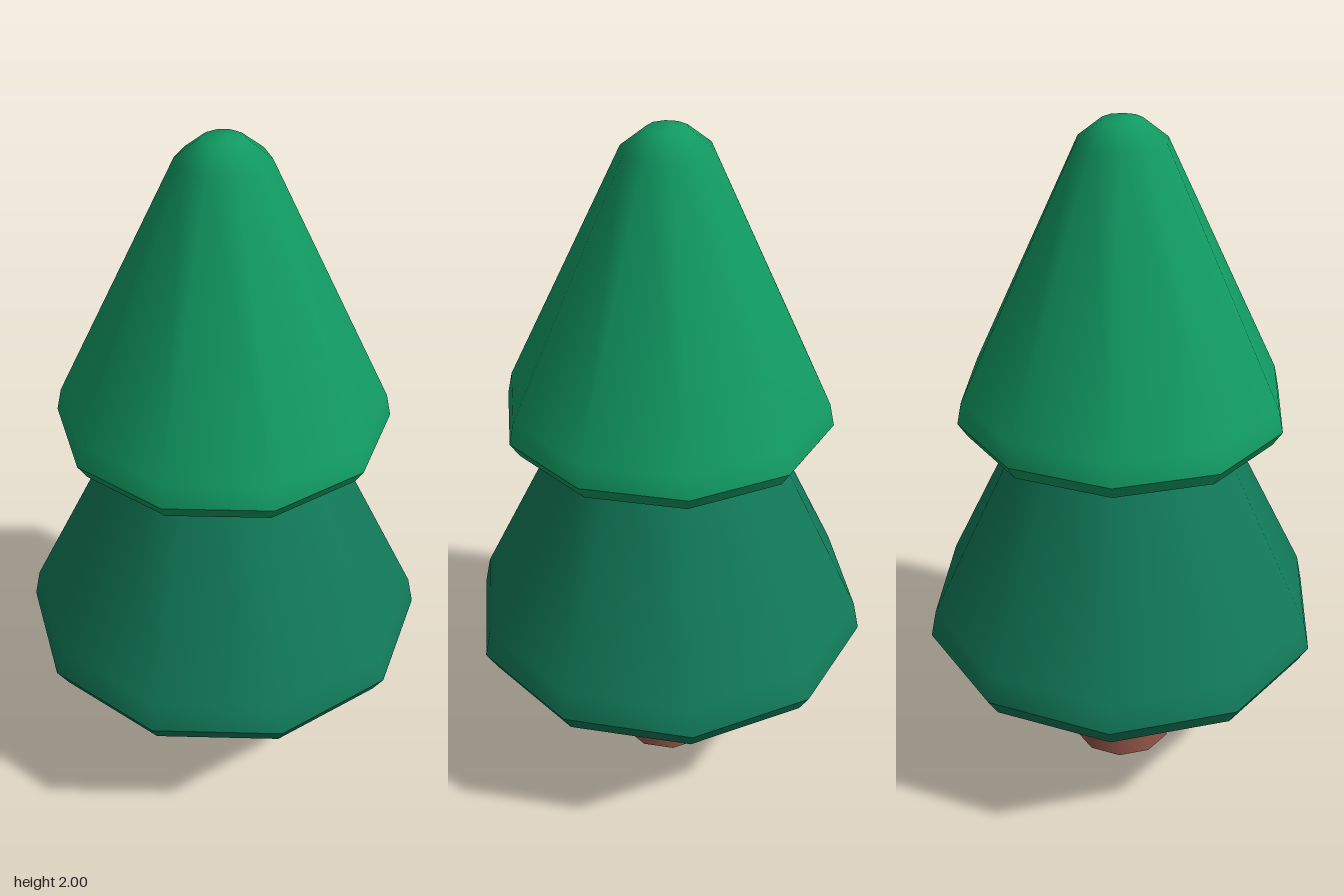
import * as THREE from 'three';
import { mergeGeometries } from 'three/addons/utils/BufferGeometryUtils.js';

const SIDES = 10;

// Turns several profiles into one ten-sided solid; edges between profiles stay sharp.
function turned(profiles) {
  return mergeGeometries(profiles.map((points) =>
    new THREE.LatheGeometry(points.map(([r, y]) => new THREE.Vector2(r, y)), SIDES)));
}

export function createModel() {
  const material = (name, color) => {
    const m = new THREE.MeshStandardMaterial({ color });
    m.name = name;
    return m;
  };
  const lightGreen = material('lightGreen', 0x119a62);
  const darkGreen = material('darkGreen', 0x117a58);
  const brown = material('brown', 0x935647);

  const tree = new THREE.Group();
  tree.name = 'tree';
  const add = (name, profiles, mat) => {
    const mesh = new THREE.Mesh(turned(profiles), mat);
    mesh.name = name;
    tree.add(mesh);
  };

  // Tapered trunk with a flat foot, running up into the foliage
  add('trunk', [
    [[0, 0], [0.155, 0]],
    [[0.155, 0], [0.14, 0.42]],
  ], brown);

  // Lower foliage: underside, bevelled lip, sloping skirt
  add('lowerFoliage', [
    [[0, 0.393], [0.15, 0.395], [0.56, 0.417]],
    [[0.56, 0.417], [0.594, 0.475]],
    [[0.594, 0.475], [0.576, 0.56], [0.285, 1.15]],
  ], darkGreen);

  // Upper foliage: the same build with a rounded tip
  add('upperFoliage', [
    [[0, 1.12], [0.15, 1.121], [0.445, 1.137]],
    [[0.445, 1.137], [0.472, 1.18]],
    [[0.472, 1.18], [0.458, 1.245], [0.124, 1.94], [0.055, 1.994], [0, 2]],
  ], lightGreen);

  return tree;
}
